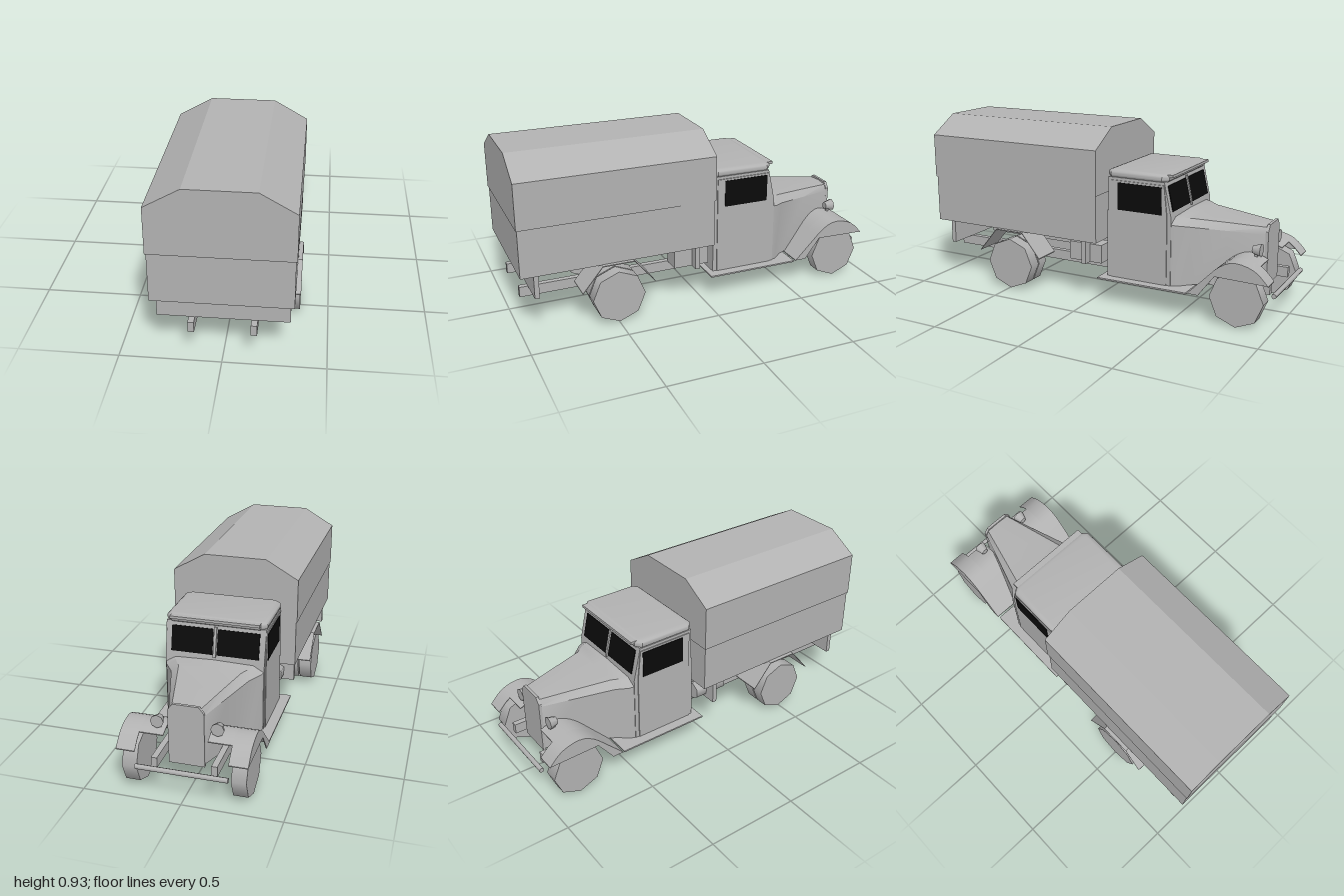
import * as THREE from 'three';
import { toCreasedNormals } from 'three/addons/utils/BufferGeometryUtils.js';

const body = new THREE.MeshStandardMaterial({ color: 0xb2b2b2, side: THREE.DoubleSide });
body.name = 'body grey';
const glass = new THREE.MeshStandardMaterial({ color: 0x0a0a0a });
glass.name = 'window black';

export function createModel() {
  const model = new THREE.Group();
  model.name = 'coveredTruck';

  const add = (name, geo, mat = body) => {
    const m = new THREE.Mesh(geo, mat);
    m.name = name;
    model.add(m);
    return m;
  };
  const box = (name, x0, x1, y0, y1, z0, z1, mat) =>
    add(name, new THREE.BoxGeometry(x1 - x0, y1 - y0, z1 - z0)
      .translate((x0 + x1) / 2, (y0 + y1) / 2, (z0 + z1) / 2), mat);
  const outline = pts => new THREE.Shape(pts.map(p => new THREE.Vector2(p[0], p[1])));
  // side profile of [z, y] points, extruded from x0 to x1
  const sideProfile = (name, pts, x0, x1) => {
    const g = new THREE.ExtrudeGeometry(outline(pts.map(([z, y]) => [-z, y])), { depth: x1 - x0, bevelEnabled: false });
    g.rotateY(Math.PI / 2).translate(x0, 0, 0);
    return add(name, toCreasedNormals(g, 0.6));
  };
  // the same profile on the left and the right
  const sideProfilePair = (name, pts, x0, x1) => {
    sideProfile(name + 'Left', pts, x0, x1);
    sideProfile(name + 'Right', pts, -x1, -x0);
  };
  const boxPair = (name, x0, x1, y0, y1, z0, z1, mat) => {
    box(name + 'Left', x0, x1, y0, y1, z0, z1, mat);
    box(name + 'Right', -x1, -x0, y0, y1, z0, z1, mat);
  };
  // thin bent sheet following a line of [z, y] points
  const sheet = (pts, t = 0.005) => [...pts, ...pts.slice().reverse().map(([z, y]) => [z, y - t])];

  // cargo cover: lower boards and a slightly wider canvas top
  box('cargoSides', -0.339, 0.339, 0.33, 0.59, -0.045, 0.995);
  const canvas = outline([[-0.345, 0.585], [0.345, 0.585], [0.345, 0.825], [0.17, 0.925], [-0.17, 0.925], [-0.345, 0.825]]);
  add('canvasTop', new THREE.ExtrudeGeometry(canvas, { depth: 1.05, bevelEnabled: false }).translate(0, 0, -0.05));

  // chassis
  boxPair('frameRail', 0.135, 0.165, 0.145, 0.2, -0.94, 0.97);
  box('rearBoard', -0.32, 0.32, 0.2, 0.33, 0.9, 0.925);
  box('frontCrossBeam', -0.32, 0.32, 0.2, 0.33, 0.03, 0.055);
  box('toolBox', 0.17, 0.27, 0.2, 0.3, -0.04, 0.155);
  add('fuelTank', new THREE.CylinderGeometry(0.048, 0.048, 0.19, 6).rotateX(Math.PI / 2).translate(-0.22, 0.25, 0.06));
  box('runningBoard', -0.32, 0.32, 0.13, 0.138, -0.55, -0.04);
  add('bumper', new THREE.CylinderGeometry(0.013, 0.013, 0.46, 8).rotateZ(Math.PI / 2).translate(0, 0.165, -0.982));

  // wheels: single at the front, doubled at the rear
  const wheel = (name, x0, x1, z, r = 0.1415) => {
    for (const s of [1, -1]) {
      add(name + (s > 0 ? 'Left' : 'Right'), new THREE.CylinderGeometry(r, r, x1 - x0, 8)
        .rotateZ(Math.PI / 2).translate(s * (x0 + x1) / 2, 0.1415, z));
    }
  };
  wheel('frontWheel', 0.235, 0.31, -0.815);
  wheel('rearInnerWheel', 0.21, 0.277, 0.495);
  wheel('rearOuterWheel', 0.285, 0.355, 0.495);
  wheel('rearHub', 0.27, 0.29, 0.495, 0.12);

  // rear mudguards
  sideProfilePair('rearFender', sheet([[0.69, 0.2], [0.58, 0.332], [0.41, 0.332], [0.3, 0.2]]), 0.2, 0.36);

  // front mudguards: curved sheet with an outer skirt
  const arc = new THREE.SplineCurve([[-0.98, 0.246], [-0.91, 0.312], [-0.81, 0.337], [-0.73, 0.306], [-0.65, 0.23], [-0.56, 0.14]]
    .map(p => new THREE.Vector2(...p))).getPoints(15).map(p => [p.x, p.y]);
  sideProfilePair('frontFender', sheet(arc), 0.23, 0.325);
  sideProfilePair('innerFender', sheet(arc.filter(p => p[0] > -0.92)), 0.11, 0.23);
  sideProfilePair('fenderSkirt', [...arc, [-0.62, 0.139], [-0.705, 0.252]], 0.32, 0.325);

  // cab
  sideProfile('cab', [[-0.08, 0.135], [-0.08, 0.68], [-0.4, 0.68], [-0.44, 0.5], [-0.44, 0.135]], -0.262, 0.262);
  box('cabBackPanel', -0.262, 0.262, 0.135, 0.5, -0.085, -0.073);
  sideProfilePair('door', [[-0.096, 0.135], [-0.096, 0.665], [-0.4, 0.665], [-0.418, 0.5], [-0.418, 0.135]], 0.262, 0.267);
  boxPair('sideWindow', 0.266, 0.27, 0.51, 0.655, -0.388, -0.138, glass);

  // roof with softened edge
  const roof = outline([[-0.24, 0.09], [-0.225, 0.075], [0.225, 0.075], [0.24, 0.09],
    [0.24, 0.37], [0.225, 0.385], [-0.225, 0.385], [-0.24, 0.37]]);
  const roofGeo = new THREE.ExtrudeGeometry(roof, { depth: 0.005, bevelThickness: 0.02, bevelSize: 0.026, bevelOffset: 0, bevelSegments: 3 });
  const rp = roofGeo.attributes.position;
  for (let i = 0; i < rp.count; i++) rp.setY(i, 0.23 + (rp.getY(i) - 0.23) * 0.96);
  roofGeo.rotateX(-Math.PI / 2).translate(0, 0.694, -0.012);
  add('roof', toCreasedNormals(roofGeo, 0.7));
  box('sunVisor', -0.235, 0.235, 0.702, 0.716, -0.435, -0.39);

  // split windscreen, leaning back
  for (const s of [1, -1]) {
    const pane = add(s > 0 ? 'windscreenLeft' : 'windscreenRight', new THREE.BoxGeometry(0.22, 0.135, 0.006), glass);
    pane.position.set(s * 0.122, 0.592, -0.421);
    pane.rotation.x = 0.2187;
  }
  const post = box('windscreenPost', -0.007, 0.007, -0.08, 0.08, -0.006, 0.006);
  post.position.set(0, 0.592, -0.423);
  post.rotation.x = 0.2187;

  // bonnet, lofted through [z, half width, bottom, shoulder, top]
  const sections = [
    [-0.43, 0.262, 0.135, 0.465, 0.502], [-0.465, 0.25, 0.135, 0.46, 0.5], [-0.52, 0.205, 0.14, 0.45, 0.492],
    [-0.7, 0.147, 0.16, 0.44, 0.482], [-0.89, 0.087, 0.17, 0.43, 0.47],
  ];
  const verts = [], faces = [], n = 7;
  sections.forEach(([z, w, yb, ys, yt], i) => {
    const row = [[-w, yb], [-w, ys], [-w * 0.8, yt - 0.006], [0, yt], [w * 0.8, yt - 0.006], [w, ys], [w, yb]];
    row.forEach(([x, y], j) => {
      verts.push(x, y, z);
      if (i && j) {
        const d = i * n + j, c = d - 1, b = d - n, a = b - 1;
        faces.push(a, b, c, b, d, c);
      }
    });
  });
  const bonnet = new THREE.BufferGeometry();
  bonnet.setAttribute('position', new THREE.Float32BufferAttribute(verts, 3));
  bonnet.setIndex(faces);
  add('bonnet', toCreasedNormals(bonnet.toNonIndexed(), 0.6));

  // radiator plate
  const rad = outline([[-0.09, 0.16], [0.09, 0.16], [0.09, 0.445], [0.065, 0.478], [-0.065, 0.478], [-0.09, 0.445]]);
  add('radiator', new THREE.ExtrudeGeometry(rad, { depth: 0.015, bevelEnabled: false }).translate(0, 0, -0.897));

  // headlamps
  for (const s of [1, -1]) {
    add(s > 0 ? 'headlampLeft' : 'headlampRight', new THREE.CylinderGeometry(0.02, 0.034, 0.045, 8)
      .rotateX(Math.PI / 2).translate(s * 0.15, 0.365, -0.862));
    box('headlampStem', s * 0.15 - 0.007, s * 0.15 + 0.007, 0.3, 0.35, -0.865, -0.85);
  }
  return model;
}
